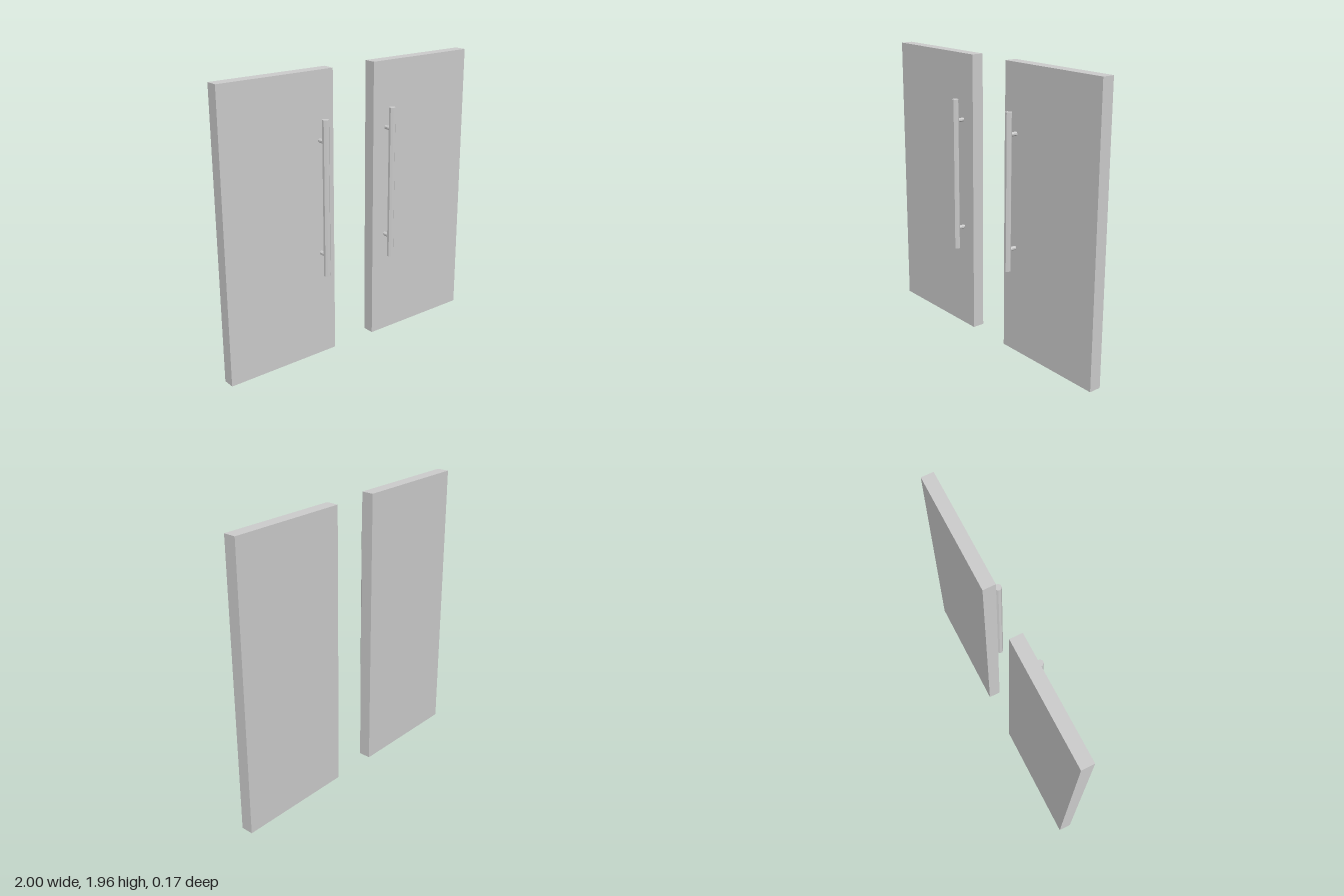
import * as THREE from 'three';

const material = new THREE.MeshStandardMaterial({ color: 0xcccccc, flatShading: true });

function addMesh(parent, name, geometry, x, y, z) {
  const mesh = new THREE.Mesh(geometry, material);
  mesh.name = name;
  mesh.position.set(x, y, z);
  parent.add(mesh);
  return mesh;
}

// Octagonal rod along y with flat faces towards the axes
function octagonRod(halfWidth, length) {
  const rod = new THREE.CylinderGeometry(1, 1, length, 8);
  const radius = halfWidth / Math.cos(Math.PI / 8);
  return rod.rotateY(Math.PI / 8).scale(radius, 1, radius);
}

// One door: slab, vertical pull bar and its two standoffs
function createDoor(side, name) {
  const door = new THREE.Group();
  door.name = name;
  const height = 1.956, depth = 0.085, inner = 0.167;
  const handleX = side * 0.275;

  addMesh(door, 'doorPanel', new THREE.BoxGeometry(1 - inner, height, depth),
    side * (1 + inner) / 2, height / 2, -depth / 2);

  const handle = new THREE.Group();
  handle.name = 'pullHandle';
  door.add(handle);
  addMesh(handle, 'handleBar', octagonRod(0.0213, 1.058), handleX, 1.125, 0.064);
  for (const y of [0.742, 1.508]) {
    addMesh(handle, 'handleStandoff', octagonRod(0.0125, 0.045).rotateX(Math.PI / 2), handleX, y, 0.0225);
  }
  return door;
}

export function createModel() {
  const model = new THREE.Group();
  model.name = 'doubleDoors';
  model.add(createDoor(1, 'leftDoor'), createDoor(-1, 'rightDoor'));
  return model;
}
